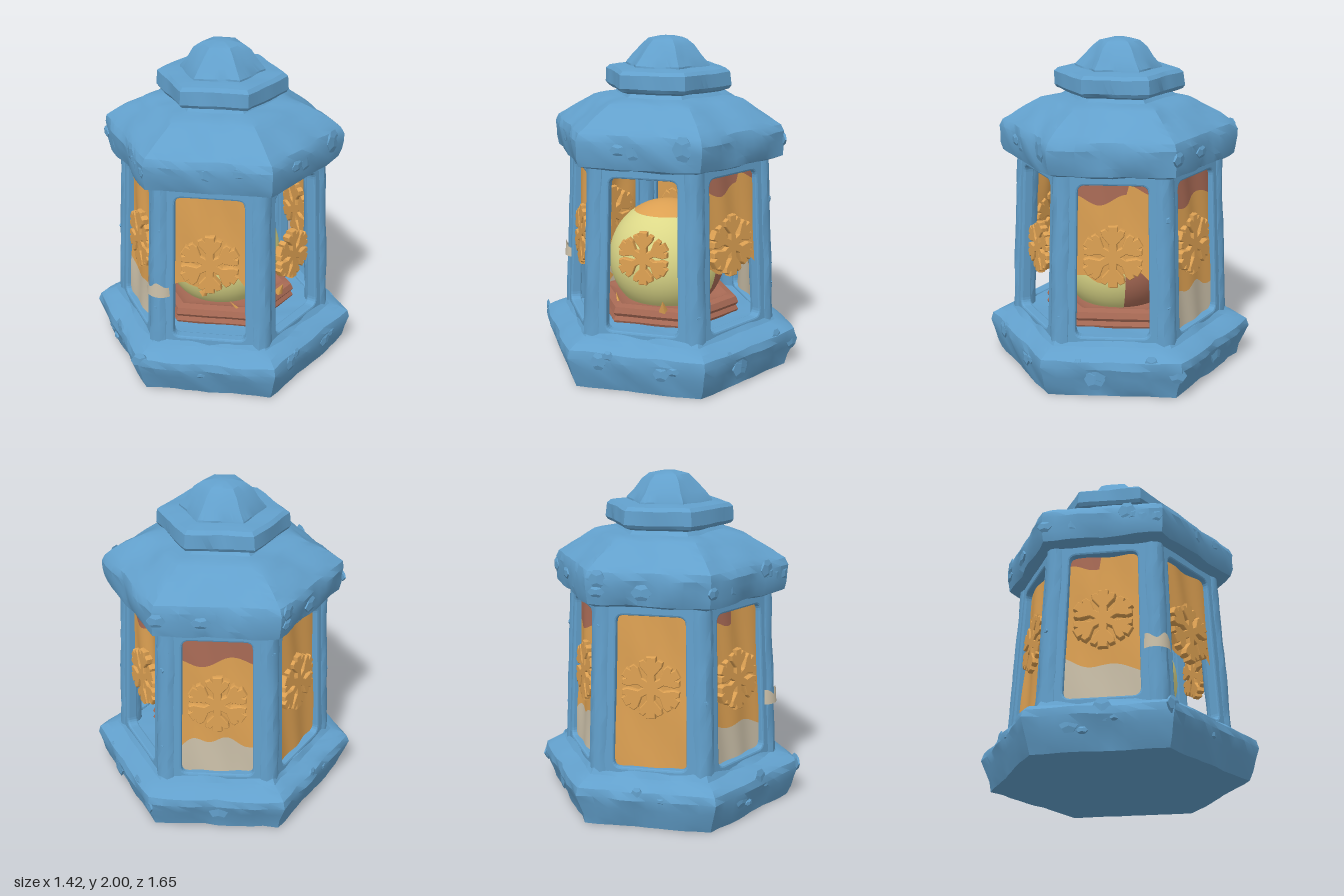
import * as THREE from 'three';
import { toCreasedNormals } from 'three/addons/utils/BufferGeometryUtils.js';

const material = (name, color, side = THREE.FrontSide) => {
  const m = new THREE.MeshStandardMaterial({ color, side });
  m.name = name;
  return m;
};

// distance factor that turns a circle into a hexagon with corners on +z and -z
const hexFactor = (phi) => {
  const step = Math.PI / 3;
  const a = ((phi % step) + step) % step;
  return Math.cos(step / 2) / Math.cos(a - step / 2);
};

// creased, stone-like unevenness
const rough = (x, y, z) =>
  Math.abs(Math.sin(9 * x + 5 * y + 2)) + Math.abs(Math.sin(8 * z - 7 * y + 4 * x)) +
  0.6 * Math.abs(Math.sin(17 * y + 13 * x - 11 * z)) - 1.65;

let seed = 7;
const random = () => ((seed = (seed * 16807) % 2147483647) / 2147483647);

export function createModel() {
  const blue = material('blue stone', 0x62a0cc);
  const orange = material('orange glass', 0xdca052, THREE.DoubleSide);
  const yellow = material('yellow glow', 0xdcd888);
  const brown = material('red brown', 0xa86a55, THREE.DoubleSide);
  const cream = material('cream', 0xcabfa8, THREE.DoubleSide);

  const lantern = new THREE.Group();
  lantern.name = 'lantern';
  const add = (parent, name, geometry, mat) => {
    const mesh = new THREE.Mesh(geometry, mat);
    mesh.name = name;
    parent.add(mesh);
    return mesh;
  };

  // hexagonal turned solid from [corner radius, height] pairs
  const hexSolid = (name, profile, amount, mat) => {
    const points = [];
    profile.forEach(([r, y], i) => {
      const [r2, y2] = profile[i + 1] || [r, y];
      const n = i + 1 < profile.length ? Math.max(1, Math.round(Math.hypot(r2 - r, y2 - y) / 0.06)) : 1;
      for (let k = 0; k < n; k++) points.push(new THREE.Vector2(r + ((r2 - r) * k) / n, y + ((y2 - y) * k) / n));
    });
    const g = new THREE.LatheGeometry(points, 60);
    const p = g.attributes.position;
    for (let i = 0; i < p.count; i++) {
      const phi = Math.atan2(p.getX(i), p.getZ(i));
      const f = hexFactor(phi);
      const x = p.getX(i) * f, y = p.getY(i), z = p.getZ(i) * f;
      const r = Math.hypot(x, z);
      const s = r > 0.02 ? 1 + (amount * rough(x, y, z)) / Math.max(r, 0.2) : 1;
      const lift = y > 0.05 && y < 1.96 ? amount * 0.4 * rough(z, x, y) : 0;
      p.setXYZ(i, x * s, y + lift, z * s);
    }
    return add(lantern, name, toCreasedNormals(g, 0.5), mat);
  };

  hexSolid('base', [[0, 0], [0.75, 0], [0.775, 0.06], [0.82, 0.19], [0.81, 0.235], [0.76, 0.265], [0.69, 0.285], [0.66, 0.32], [0.6, 0.32], [0, 0.31]], 0.014, blue);
  hexSolid('roof', [[0, 1.29], [0.64, 1.29], [0.7, 1.31], [0.715, 1.36], [0.72, 1.46], [0.7, 1.5], [0.61, 1.56], [0.46, 1.64], [0.42, 1.65], [0.33, 1.66], [0.28, 1.71], [0, 1.71]], 0.014, blue);
  hexSolid('collar', [[0, 1.685], [0.33, 1.685], [0.375, 1.7], [0.39, 1.72], [0.385, 1.8], [0.36, 1.82], [0.26, 1.83], [0, 1.83]], 0.007, blue);
  hexSolid('finial', [[0.26, 1.81], [0.255, 1.84], [0.21, 1.89], [0.165, 1.95], [0.12, 1.985], [0.05, 2], [0, 2]], 0.01, blue);
  hexSolid('tray', [[0, 0.3], [0.44, 0.3], [0.455, 0.33], [0.44, 0.355], [0.455, 0.375], [0.44, 0.41], [0.39, 0.42], [0.34, 0.4], [0, 0.39]], 0.002, brown);

  // glowing ball in three coloured zones
  const ball = new THREE.Group();
  ball.name = 'ball';
  ball.position.y = 0.64;
  lantern.add(ball);
  const rad = Math.PI / 180, cap = 0.6;
  add(ball, 'ballTop', new THREE.SphereGeometry(0.36, 40, 8, 0, Math.PI * 2, 0, cap), orange);
  add(ball, 'ballGlow', new THREE.SphereGeometry(0.36, 30, 20, 20 * rad, 230 * rad, cap, Math.PI - cap), yellow);
  add(ball, 'ballShell', new THREE.SphereGeometry(0.36, 20, 20, 250 * rad, 130 * rad, cap, Math.PI - cap), brown);

  // window frame: a tapered plate with a rounded opening
  const half = (y) => (0.592 - 0.043 * y) * Math.tan(Math.PI / 6);
  const plate = new THREE.Shape();
  plate.moveTo(-half(0.27), 0.27).lineTo(half(0.27), 0.27).lineTo(half(1.31), 1.31).lineTo(-half(1.31), 1.31);
  const hole = new THREE.Path();
  const c = 0.045, b = 0.335, t = 1.24, wb = 0.215, wt = 0.2;
  hole.moveTo(-wb + c, b);
  hole.quadraticCurveTo(-wb, b, -wb, b + c);
  hole.lineTo(-wt, t - c);
  hole.quadraticCurveTo(-wt, t, -wt + c, t);
  hole.lineTo(wt - c, t);
  hole.quadraticCurveTo(wt, t, wt, t - c);
  hole.lineTo(wb, b + c);
  hole.quadraticCurveTo(wb, b, wb - c, b);
  plate.holes.push(hole);
  const frameGeometry = new THREE.ExtrudeGeometry(plate, { depth: 0.045, bevelThickness: 0.012, bevelSize: 0.012, bevelOffset: -0.012, bevelSegments: 2, curveSegments: 5 });
  frameGeometry.translate(0, 0, -0.057);

  // rippled pane strip between two edge curves
  const strip = (low, high) => {
    const g = new THREE.PlaneGeometry(0.48, 1, 32, 16);
    const p = g.attributes.position;
    for (let i = 0; i < p.count; i++) {
      const x = p.getX(i), lo = low(x), hi = Math.max(lo, high(x));
      const y = lo + (hi - lo) * (p.getY(i) + 0.5);
      p.setXYZ(i, x, y, -0.04 + 0.007 * Math.sin(26 * x + 3 * y) + 0.005 * Math.sin(9 * y + 14 * x));
    }
    g.computeVertexNormals();
    return g;
  };

  // one forked snowflake arm
  const side = [[0.02, 0], [0.017, 0.07], [0.055, 0.115], [0.06, 0.14], [0.04, 0.15], [0.024, 0.135], [0.022, 0.165]];
  const outline = [...side, ...side.map(([x, y]) => [-x, y]).reverse()];
  const armGeometry = new THREE.ExtrudeGeometry(new THREE.Shape(outline.map(([x, y]) => new THREE.Vector2(x, y))),
    { depth: 0.025, bevelThickness: 0.012, bevelSize: 0.005, bevelSegments: 2 });
  armGeometry.translate(0, 0, -0.012);

  const bottom = () => 0.3, top = () => 1.28;
  const jag = (x) => 0.035 * Math.abs(((x * 13 + 40) % 2) - 1) + 0.03 * Math.sin(17 * x);
  // faces in order from front right round to front left
  const panes = [
    { low: (x) => 0.72 + jag(x) - 0.25 * Math.abs(x - 0.07) },
    null,
    { low: (x) => 0.68 + jag(x), patch: (x) => 1.15 + 0.03 * Math.sin(20 * x) + (x > 0.08 ? 0.06 : 0) },
    { low: bottom, stain: (x) => 0.56 - 0.9 * x * x + 0.02 * Math.sin(30 * x), patch: (x) => 1.09 + 0.03 * Math.sin(16 * x) },
    { low: bottom },
    { low: bottom, stain: (x) => 0.54 - 0.17 * x + 0.02 * Math.sin(18 * x), patch: (x) => (x < -0.02 ? 1.17 + 0.02 * Math.sin(25 * x) : 1.28) },
  ];

  panes.forEach((pane, k) => {
    const face = new THREE.Group();
    face.name = 'windowFace';
    face.rotation.set(-0.043, (30 + 60 * k) * rad, 0, 'YXZ');
    face.position.set(Math.sin(face.rotation.y) * 0.592, 0, Math.cos(face.rotation.y) * 0.592);
    lantern.add(face);
    add(face, 'windowFrame', frameGeometry, blue);
    if (pane) {
      add(face, 'glass', strip(pane.stain || pane.low, pane.patch || top), orange);
      if (pane.stain) add(face, 'frostedGlass', strip(bottom, pane.stain), cream);
      if (pane.patch) add(face, 'rustyGlass', strip(pane.patch, top), brown);
    }
    const flake = new THREE.Group();
    flake.name = 'snowflake';
    flake.position.set(0, pane ? 0.82 : 0.78, -0.035);
    flake.scale.setScalar(pane ? 1.08 : 0.92);
    face.add(flake);
    for (let i = 0; i < 6; i++) add(flake, 'snowflakeArm', armGeometry, orange).rotation.z = i * 60 * rad;

    // corner post
    const corner = k * 60 * rad;
    const foot = new THREE.Vector3(Math.sin(corner) * 0.602, 0.27, Math.cos(corner) * 0.602);
    const head = new THREE.Vector3(Math.sin(corner) * 0.555, 1.32, Math.cos(corner) * 0.555);
    const postGeometry = new THREE.CylinderGeometry(0.066, 0.07, foot.distanceTo(head), 12, 14);
    const p = postGeometry.attributes.position;
    for (let i = 0; i < p.count; i++) {
      const s = 1 + 0.06 * rough(p.getX(i) * 3 + Math.sin(corner), p.getY(i), p.getZ(i) * 3 + k);
      p.setX(i, p.getX(i) * s);
      p.setZ(i, p.getZ(i) * s);
    }
    const post = add(lantern, 'cornerPost', toCreasedNormals(postGeometry, 0.6), blue);
    post.position.copy(foot).lerp(head, 0.5);
    post.quaternion.setFromUnitVectors(new THREE.Vector3(0, 1, 0), head.clone().sub(foot).normalize());
  });

  // ragged wrap on the front post
  const wrapGeometry = new THREE.CylinderGeometry(0.078, 0.084, 0.08, 16, 1, true, -1.4, 2.8);
  const w = wrapGeometry.attributes.position;
  for (let i = 0; i < w.count; i++) if (w.getY(i) > 0) w.setY(i, 0.035 + 0.018 * Math.sin(60 * w.getX(i)));
  wrapGeometry.computeVertexNormals();
  add(lantern, 'wrap', wrapGeometry, cream).position.set(0, 0.645, 0.587);

  // fallen glass shards
  [[0.3, 0.4, 0.22, 0.6, 0.17], [0.4, 0.45, -0.08, -0.5, 0.08], [0.14, 0.54, 0.34, -0.7, 0.07]].forEach(([x, y, z, turn, size]) => {
    const shard = add(lantern, 'shard', new THREE.ConeGeometry(0.028, size, 4), orange);
    shard.position.set(x, y, z);
    shard.rotation.set(0.2, 0.5, turn);
  });

  // stone chips on the base, posts and eaves
  const chipGeometry = new THREE.DodecahedronGeometry(1, 0);
  for (let i = 0; i < 54; i++) {
    const zone = i % 3, phi = zone === 1 ? Math.floor(random() * 6) * 60 * rad + (random() - 0.5) * 0.12 : random() * Math.PI * 2;
    const y = [0.1 + random() * 0.13, 0.35 + random() * 0.9, 1.36 + random() * 0.13][zone];
    const r = [0.8, 0.675 - 0.045 * y, 0.712][zone] * hexFactor(phi);
    const size = zone === 1 ? 0.014 + random() * 0.01 : 0.03 + random() * 0.04;
    const chip = add(lantern, 'stoneChip', chipGeometry, blue);
    chip.position.set(Math.sin(phi) * r, y, Math.cos(phi) * r);
    chip.rotation.y = (Math.floor(phi / (60 * rad)) * 60 + 30) * rad;
    chip.scale.set(size, size * (0.6 + random() * 0.6), 0.013);
  }
  return lantern;
}
